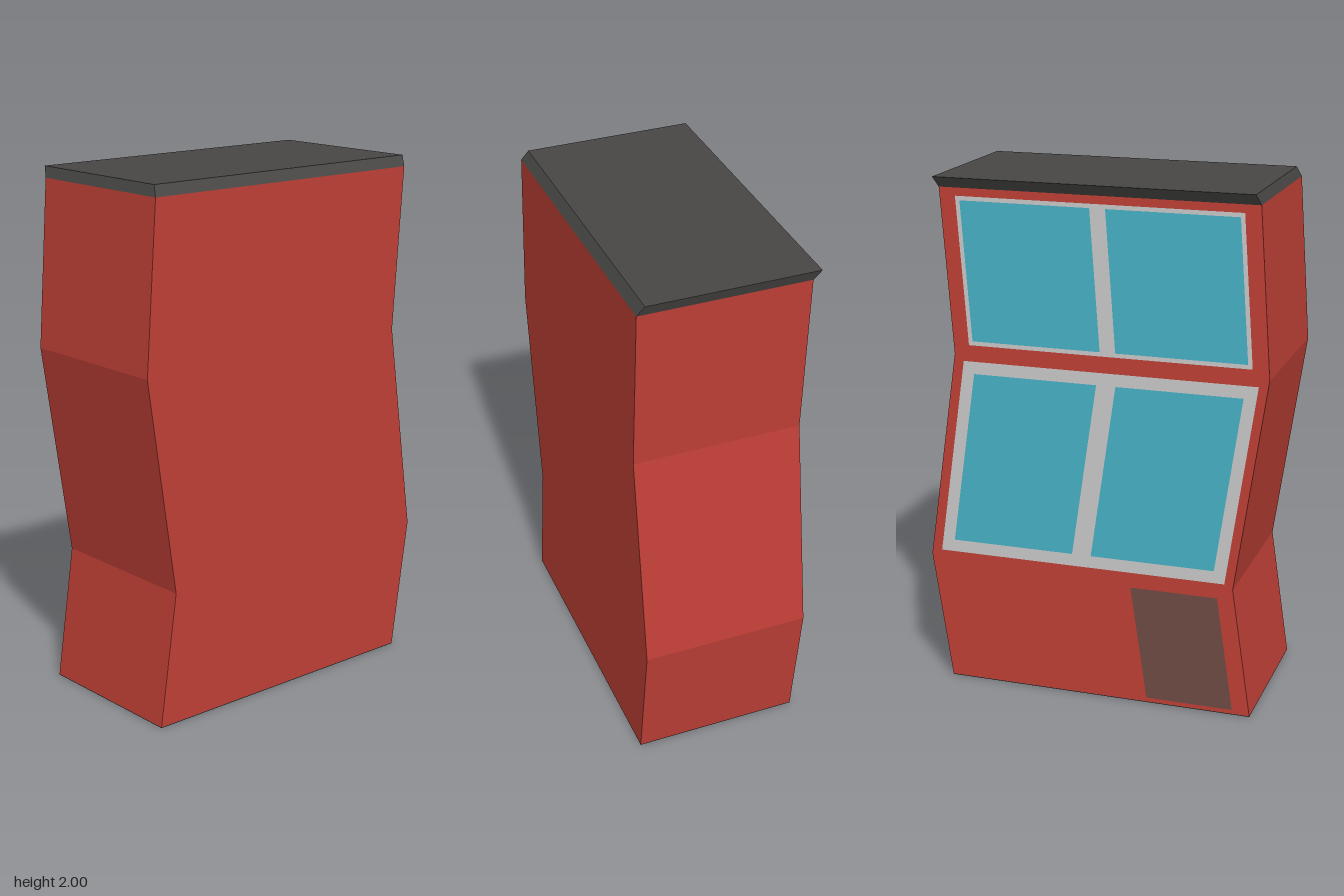
import * as THREE from 'three';

const mat = (color) => new THREE.MeshStandardMaterial({ color, flatShading: true });
const RED = mat(0xc04036), DARK = mat(0x484745), FRAME = mat(0xc6c6c4), GLASS = mat(0x48b3c8), DOOR = mat(0x6f4b43);

// Bent outline of the tower: height, z of the back edge; the front edge is DEPTH further
const BENDS = [[0, -0.59], [0.51, -0.665], [1.33, -0.545], [1.96, -0.59]];
const DEPTH = 1.215, WIDTH = 0.64, WALL = 0.31;

// z of the back edge at height y
function backEdge(y) {
  let i = 0;
  while (i < BENDS.length - 2 && y > BENDS[i + 1][0]) i++;
  const [y0, z0] = BENDS[i], [y1, z1] = BENDS[i + 1];
  return z0 + (z1 - z0) * (y - y0) / (y1 - y0);
}

const shapeOf = (pts) => new THREE.Shape(pts.map(([a, b]) => new THREE.Vector2(a, b)));

// Four-sided area that leans with the wall; a and b are distances from the back edge
const leaning = (a, b, y0, y1) => [
  [backEdge(y0) + a, y0], [backEdge(y0) + b, y0], [backEdge(y1) + b, y1], [backEdge(y1) + a, y1],
];

export function createModel() {
  const model = new THREE.Group();
  model.name = 'bentTower';

  // Drawn with the outline in local x/y, then turned so local x runs along world z
  const house = new THREE.Group();
  house.name = 'house';
  house.rotation.y = -Math.PI / 2;
  model.add(house);

  const add = (name, geometry, material, z = 0, parent = house) => {
    const mesh = new THREE.Mesh(geometry, material);
    mesh.name = name;
    mesh.position.z = z;
    parent.add(mesh);
    return mesh;
  };

  // Walls: one zigzag outline extruded across the width
  const outline = [
    ...BENDS.map(([y, z]) => [z + DEPTH, Math.max(y, 0.003)]),
    ...BENDS.map(([y, z]) => [z, Math.max(y, 0.003)]).reverse(),
  ];
  add('walls', new THREE.ExtrudeGeometry(shapeOf(outline), { depth: WIDTH, bevelEnabled: false }), RED, WALL - WIDTH);

  // Dark floor
  const floor = add('floor', new THREE.BoxGeometry(DEPTH, 0.003, WIDTH), DARK, WALL - WIDTH / 2);
  floor.position.x = BENDS[0][1] + DEPTH / 2;
  floor.position.y = 0.0015;

  // Roof slab, its top slid sideways and back
  const slab = new THREE.BoxGeometry(DEPTH, 0.04, WIDTH);
  const p = slab.attributes.position;
  for (let i = 0; i < p.count; i++) {
    if (p.getY(i) > 0) p.setXYZ(i, p.getX(i) - 0.015, p.getY(i), p.getZ(i) + 0.025);
  }
  slab.computeVertexNormals();
  const roof = add('roof', slab, DARK, WALL - WIDTH / 2);
  roof.position.x = BENDS[3][1] + DEPTH / 2;
  roof.position.y = 1.98;

  // Windows: a frame with two panes, flush with the wall
  const addWindow = (name, a, b, y0, y1, border, mullion, mid) => {
    const group = new THREE.Group();
    group.name = name;
    house.add(group);
    const panes = [[a + border, mid - mullion / 2], [mid + mullion / 2, b - border]]
      .map(([l, r]) => leaning(l, r, y0 + border, y1 - border));
    const frame = shapeOf(leaning(a, b, y0, y1));
    panes.forEach((pts) => frame.holes.push(shapeOf(pts)));
    add('windowFrame', new THREE.ShapeGeometry(frame), FRAME, WALL + 0.002, group);
    panes.forEach((pts) => add('windowPane', new THREE.ShapeGeometry(shapeOf(pts)), GLASS, WALL + 0.002, group));
  };
  addWindow('upperWindow', 0.062, 1.155, 1.368, 1.93, 0.016, 0.06, 0.61);
  addWindow('lowerWindow', 0.04, 1.18, 0.53, 1.305, 0.048, 0.075, 0.61);

  // Door near the front corner
  add('door', new THREE.ShapeGeometry(shapeOf(leaning(0.81, 1.15, 0.02, 0.47))), DOOR, WALL + 0.002);

  return model;
}
